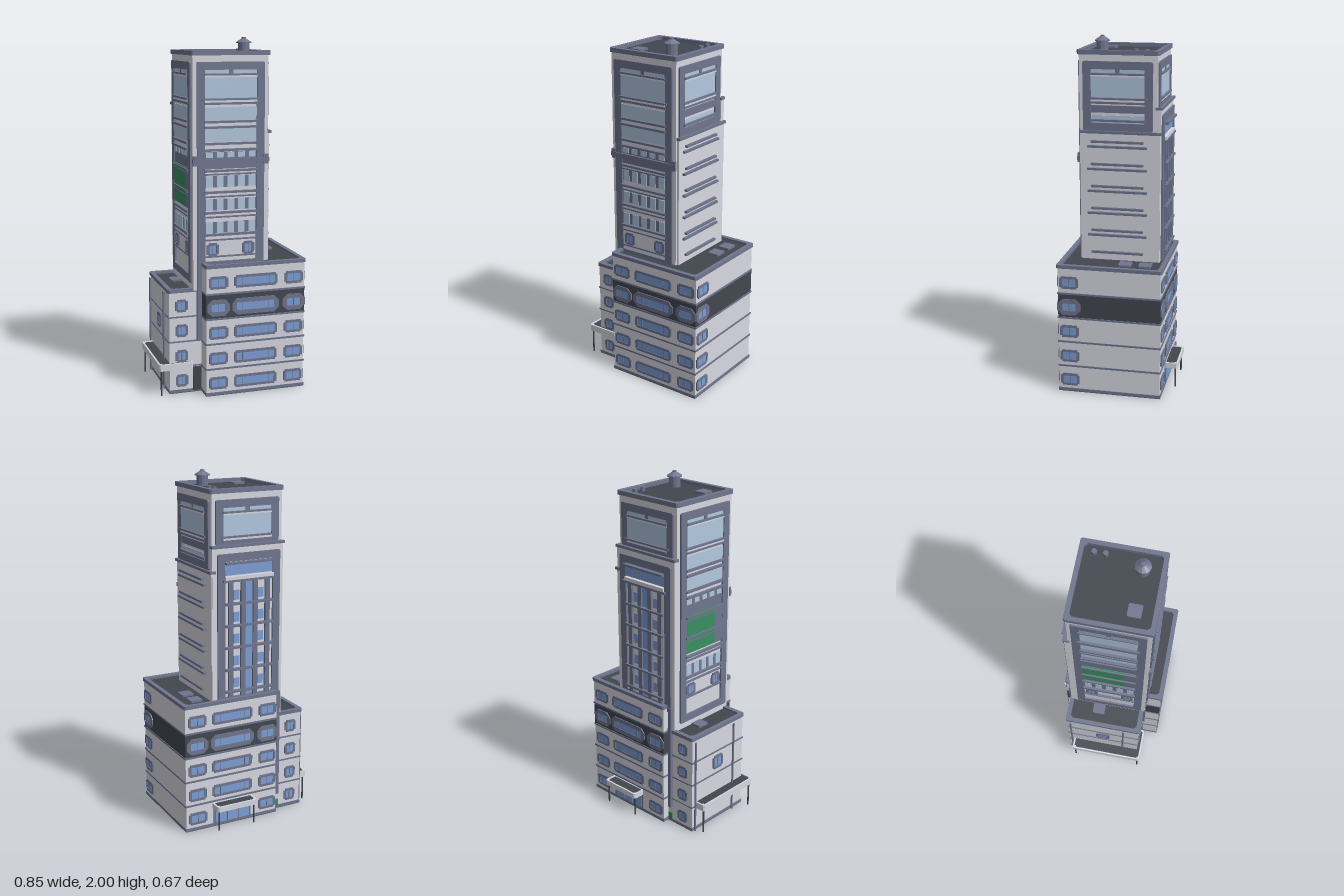
import * as THREE from 'three';

const material = (name, color) => Object.assign(new THREE.MeshStandardMaterial({ color }), { name });
const M = {
  wall: material('pale wall', 0xd8d8e2),
  trim: material('slate trim', 0x70768f),
  dark: material('charcoal', 0x42474f),
  base: material('underside grey', 0x545963),
  glass: material('blue glass', 0x7d9fd6),
  pale: material('pale glass', 0xb2c8e0),
  green: material('green panel', 0x3a8f62),
};

function add(parent, name, geo, mat, x = 0, y = 0, z = 0) {
  const mesh = new THREE.Mesh(geo, mat);
  mesh.name = name;
  mesh.position.set(x, y, z);
  parent.add(mesh);
  return mesh;
}

// box given by its extents on each axis
function box(parent, name, mat, x0, x1, y0, y1, z0, z1) {
  return add(parent, name, new THREE.BoxGeometry(x1 - x0, y1 - y0, z1 - z0), mat,
    (x0 + x1) / 2, (y0 + y1) / 2, (z0 + z1) / 2);
}

// rectangle outline with chamfered or stepped corners
function outline(Type, w, h, c, stepped = false) {
  const a = w / 2, b = h / 2;
  const corners = [[1, -1, false], [1, 1, true], [-1, 1, false], [-1, -1, true]];
  const points = [];
  for (const [sx, sy, sideFirst] of corners) {
    const alongX = [sx * (a - c), sy * b], alongY = [sx * a, sy * (b - c)];
    const notch = stepped ? [[sx * (a - c), sy * (b - c)]] : [];
    points.push(...(sideFirst ? [alongY, ...notch, alongX] : [alongX, ...notch, alongY]));
  }
  return new Type(points.map(p => new THREE.Vector2(...p)));
}

function frameGeometry(w, h, c, holeW, holeH, holeC, depth, stepped = false) {
  const shape = outline(THREE.Shape, w, h, c, stepped);
  shape.holes.push(outline(THREE.Path, holeW, holeH, holeC));
  return new THREE.ExtrudeGeometry(shape, { depth, bevelEnabled: false });
}

// horizontal rim around a flat roof
function parapet(parent, name, mat, x0, x1, z0, z1, y0, y1, t) {
  const geo = frameGeometry(x1 - x0, z1 - z0, 0.008, x1 - x0 - 2 * t, z1 - z0 - 2 * t, t * 0.6, y1 - y0);
  geo.rotateX(-Math.PI / 2);
  add(parent, name, geo, mat, (x0 + x1) / 2, y0, (z0 + z1) / 2);
}

// rounded-corner cover lying on a roof
function hatch(parent, x, y, z) {
  const geo = new THREE.ExtrudeGeometry(outline(THREE.Shape, 0.072, 0.072, 0.006), { depth: 0.012, bevelEnabled: false });
  geo.rotateX(-Math.PI / 2);
  add(parent, 'roofHatch', geo, M.trim, x, y, z);
}

// facade group: local +z points outward, local x runs to the viewer's right
function facade(parent, name, angle, x, z) {
  const g = new THREE.Group();
  g.name = name;
  g.position.set(x, 0, z);
  g.rotation.y = angle;
  parent.add(g);
  return g;
}

// framed window with mullions; big widens the frame into a chamfered surround
function windowUnit(parent, x, y, w, h, mullions, big = 0) {
  const g = new THREE.Group();
  g.name = 'window';
  g.position.set(x, y, 0);
  parent.add(g);
  const corner = big ? 0.028 : 0.01;
  add(g, 'windowFrame', frameGeometry(w + big, h + big, corner, w - 0.03, h - 0.028, 0.004, 0.007, !big), M.trim);
  box(g, 'windowGlass', M.glass, -w / 2 + 0.014, w / 2 - 0.014, -h / 2 + 0.013, h / 2 - 0.013, 0, 0.004);
  for (const m of mullions) box(g, 'mullion', M.trim, m - 0.0015, m + 0.0015, -h / 2 + 0.014, h / 2 - 0.014, 0, 0.006);
}

const ledge = (g, y, half, depth = 0.018, h = 0.012) =>
  box(g, 'ledge', M.trim, -half, half, y - h / 2, y + h / 2, 0, depth);

// tall facade frame with an open middle
function tallFrame(g, y0, y1, half = 0.195, t = 0.045) {
  add(g, 'facadeFrame', frameGeometry(half * 2, y1 - y0, 0.006, (half - t) * 2, y1 - y0 - t * 1.9, 0.004, 0.01),
    M.trim, 0, (y0 + y1) / 2, 0);
}

// picture window near the top of the tower
function topWindow(g) {
  box(g, 'topGlass', M.pale, -0.15, 0.15, 1.67, 1.83, 0, 0.004);
  box(g, 'topClip', M.trim, -0.012, 0.012, 1.8, 1.83, 0, 0.008);
  ledge(g, 1.802, 0.155, 0.018, 0.01);
  box(g, 'ledgeFace', M.wall, -0.15, 0.15, 1.787, 1.797, 0, 0.012);
  ledge(g, 1.668, 0.165, 0.018, 0.01);
  box(g, 'ledgeFace', M.wall, -0.15, 0.15, 1.651, 1.663, 0, 0.012);
  ledge(g, 1.645, 0.155, 0.014);
}

function podium(root) {
  const g = new THREE.Group();
  g.name = 'podium';
  root.add(g);
  box(g, 'podiumWalls', M.wall, -0.17, 0.413, 0.005, 0.742, -0.258, 0.323);
  box(g, 'podiumBase', M.trim, -0.174, 0.418, 0.004, 0.02, -0.263, 0.328);
  box(g, 'podiumUnderside', M.base, -0.172, 0.416, 0, 0.004, -0.261, 0.326);
  box(g, 'darkBand', M.dark, -0.1715, 0.4145, 0.45, 0.588, -0.2595, 0.3245);
  box(g, 'podiumRoof', M.dark, -0.165, 0.41, 0.742, 0.747, -0.255, 0.32);
  parapet(g, 'podiumParapet', M.trim, -0.175, 0.421, -0.267, 0.331, 0.742, 0.762, 0.025);
  for (const y of [0.158, 0.305, 0.45, 0.594]) box(g, 'floorBand', M.trim, -0.174, 0.418, y - 0.005, y + 0.005, -0.263, 0.328);
  for (const z of [-0.153, -0.04]) hatch(g, 0.306, 0.746, z);

  const front = facade(g, 'podiumFront', 0, 0.12, 0.323);
  const back = facade(g, 'podiumBack', Math.PI, 0.12, -0.258);
  const side = facade(g, 'podiumSide', Math.PI / 2, 0.413, 0);
  [0.075, 0.22, 0.37, 0.515, 0.66].forEach((y, i) => {
    const big = i === 3 ? 0.022 : 0;
    for (const f of [front, back]) {
      for (const x of [-0.22, 0.228]) windowUnit(f, x, y, 0.112, 0.072, [0], big);
      if (f === front || i > 0) windowUnit(f, 0, y, 0.256, 0.072, [-0.078, 0.078], big);
    }
    windowUnit(side, -0.26, y, 0.108, 0.072, [0], big);
  });
  // rear entrance
  box(back, 'entranceFrame', M.trim, -0.12, 0.12, 0.02, 0.118, 0, 0.006);
  for (const x of [-0.075, 0, 0.075]) box(back, 'entranceGlass', M.glass, x - 0.033, x + 0.033, 0.022, 0.108, 0, 0.009);
}

function wing(root) {
  const g = new THREE.Group();
  g.name = 'wing';
  root.add(g);
  box(g, 'wingWalls', M.wall, -0.358, -0.165, 0.005, 0.592, -0.218, 0.223);
  box(g, 'wingBase', M.trim, -0.363, -0.165, 0.004, 0.02, -0.223, 0.228);
  box(g, 'wingUnderside', M.base, -0.361, -0.17, 0, 0.004, -0.221, 0.226);
  box(g, 'wingRoof', M.dark, -0.355, -0.165, 0.592, 0.597, -0.215, 0.22);
  parapet(g, 'wingParapet', M.trim, -0.366, -0.165, -0.228, 0.23, 0.592, 0.612, 0.025);
  for (const y of [0.158, 0.305, 0.45]) box(g, 'floorBand', M.trim, -0.363, -0.165, y - 0.004, y + 0.004, -0.223, 0.228);
  hatch(g, -0.25, 0.596, -0.04);
  const front = facade(g, 'wingFront', 0, -0.287, 0.223);
  const back = facade(g, 'wingBack', Math.PI, -0.287, -0.218);
  const side = facade(g, 'wingSide', -Math.PI / 2, -0.358, 0);
  for (const y of [0.075, 0.22, 0.37, 0.515]) for (const f of [front, back]) windowUnit(f, 0, y, 0.072, 0.072, [0]);
  windowUnit(side, 0, 0.38, 0.085, 0.085, [0]);
  // service doors and drainpipes in the corners beside the podium
  box(g, 'serviceDoor', M.dark, -0.222, -0.172, 0.01, 0.15, 0.223, 0.231);
  box(g, 'rearServiceDoor', M.green, -0.208, -0.178, 0.02, 0.06, -0.226, -0.218);
  box(g, 'cornerDuct', M.trim, -0.198, -0.17, 0.305, 0.75, 0.222, 0.24);
  box(g, 'cornerDuct', M.trim, -0.205, -0.185, 0.1, 0.75, -0.236, -0.216);
  for (const z of [-0.2, 0.13]) {
    add(g, 'drainpipe', new THREE.CylinderGeometry(0.006, 0.006, 0.58, 8), M.trim, -0.368, 0.29, z);
  }
}

// flat canopy with pale rim, dark top and two posts
function canopy(root, x0, x1, z0, z1, y0, y1, posts) {
  const g = new THREE.Group();
  g.name = 'canopy';
  root.add(g);
  box(g, 'canopySlab', M.wall, x0 + 0.008, x1 - 0.008, y0, y1 - 0.008, z0 + 0.008, z1 - 0.008);
  box(g, 'canopyTop', M.dark, x0 + 0.008, x1 - 0.008, y1 - 0.008, y1 - 0.004, z0 + 0.008, z1 - 0.008);
  parapet(g, 'canopyRim', M.wall, x0, x1, z0, z1, y0, y1, 0.01);
  for (const [x, z] of posts) {
    add(g, 'canopyPost', new THREE.CylinderGeometry(0.005, 0.005, y0, 8), M.dark, x, y0 / 2, z);
    box(g, 'canopyBolt', M.wall, x - 0.004, x + 0.004, y1 - 0.004, y1, z - 0.004, z + 0.004);
  }
}

function tower(root) {
  const g = new THREE.Group();
  g.name = 'tower';
  root.add(g);
  box(g, 'towerCore', M.wall, -0.22, 0.215, 0.6, 1.905, -0.2, 0.236);
  box(g, 'sideSlab', M.wall, 0.2, 0.227, 0.745, 1.475, -0.218, 0.226);
  box(g, 'sideSlabCap', M.trim, 0.2, 0.238, 1.475, 1.49, -0.223, 0.232);
  box(g, 'rearSlab', M.wall, -0.22, 0.222, 0.6, 1.612, -0.22, -0.19);
  box(g, 'rearSlabCap', M.trim, -0.226, 0.224, 1.612, 1.627, -0.228, -0.19);
  box(g, 'towerRoof', M.dark, -0.215, 0.21, 1.905, 1.91, -0.195, 0.23);
  parapet(g, 'towerParapet', M.trim, -0.228, 0.226, -0.21, 0.246, 1.905, 1.93, 0.025);

  // front and left: framed columns of glazing
  const front = facade(g, 'towerFront', 0, -0.002, 0.236);
  const left = facade(g, 'towerLeft', -Math.PI / 2, -0.22, 0.018);
  for (const f of [front, left]) {
    tallFrame(f, f === front ? 0.72 : 0.64, 1.87);
    topWindow(f);
    for (const [y0, y1] of [[1.55, 1.625], [1.435, 1.508]]) box(f, 'glassBand', M.pale, -0.15, 0.15, y0, y1, 0, 0.004);
    for (const y of [1.545, 1.515, 1.425, 1.39, 1.275, 1.155, 1.04, 0.915]) ledge(f, y, 0.155);
    for (const y of [1.255, 1.13, 1.015, 0.885, 0.79]) ledge(f, y, 0.15, 0.012, 0.008);
    box(f, 'pierBand', M.trim, -0.15, 0.15, 1.285, 1.38, 0, 0.003);
    for (const [y, half] of [[1.363, 0.015], [1.215, 0.032], [1.085, 0.032], [0.955, 0.032]]) {
      if (f === left && y > 1 && y < 1.3) continue;
      box(f, 'paneSurround', M.trim, -0.15, 0.15, y - half, y + half, 0, 0.003);
      for (let i = -2; i <= 2; i++) box(f, 'windowPane', M.pale, i * 0.062 - 0.02, i * 0.062 + 0.02, y - half, y + half, 0, 0.006);
    }
    for (const x of [-0.105, 0.105]) windowUnit(f, x, 0.83, 0.07, 0.075, [0]);
  }
  box(left, 'greenPanel', M.green, -0.15, 0.085, 1.06, 1.285, 0, 0.0095);
  box(left, 'greenPanelEdge', M.trim, 0.085, 0.15, 1.06, 1.285, 0, 0.0095);
  box(front, 'beltLedge', M.trim, -0.222, 0.222, 1.318, 1.342, 0, 0.016);
  for (const x of [-0.205, 0.205]) box(front, 'beltBracket', M.trim, x - 0.014, x + 0.014, 1.305, 1.36, 0, 0.014);

  // right: picture window above a plain wall with paired ledges
  const upper = facade(g, 'towerRightUpper', Math.PI / 2, 0.215, 0.02);
  tallFrame(upper, 1.49, 1.87);
  topWindow(upper);
  box(upper, 'trimBand', M.trim, -0.15, 0.15, 1.59, 1.63, 0, 0.008);
  box(upper, 'glassBand', M.pale, -0.145, 0.145, 1.53, 1.575, 0, 0.004);
  ledge(upper, 1.547, 0.16);
  const lower = facade(g, 'towerRightLower', Math.PI / 2, 0.227, 0.022);
  for (const y of [1.43, 1.303, 1.177, 1.05, 0.922, 0.793]) {
    ledge(lower, y, 0.148, 0.016);
    if (y > 0.8) ledge(lower, y - 0.028, 0.168, 0.016);
  }

  // back: picture window above a tall bay of piers
  const backTop = facade(g, 'towerBackUpper', Math.PI, -0.002, -0.2);
  tallFrame(backTop, 1.627, 1.87);
  topWindow(backTop);
  const back = facade(g, 'towerBackLower', Math.PI, -0.002, -0.22);
  tallFrame(back, 0.72, 1.58);
  box(back, 'bayGlass', M.glass, -0.15, 0.15, 1.46, 1.52, 0, 0.004);
  ledge(back, 1.528, 0.15, 0.03);
  box(back, 'bayLintel', M.wall, -0.15, 0.15, 1.436, 1.455, 0, 0.02);
  ledge(back, 1.43, 0.165, 0.024);
  box(back, 'bayGlass', M.glass, -0.024, 0.024, 0.76, 1.42, 0, 0.004);
  for (const x of [-0.115, -0.038, 0.038, 0.115]) box(back, 'bayPier', M.trim, x - 0.014, x + 0.014, 0.75, 1.42, 0, 0.014);
  for (const y of [1.3, 1.175, 1.05, 0.922, 0.793]) {
    ledge(back, y, 0.15, 0.024);
    for (const x of [-0.076, 0.076]) box(back, 'bayPane', M.glass, x - 0.018, x + 0.018, y + 0.02, y + 0.075, 0, 0.004);
  }

  // roof equipment
  hatch(g, -0.111, 1.909, 0.128);
  const tank = [[0, 0], [0.033, 0], [0.033, 0.062], [0.043, 0.062], [0.043, 0.068], [0.012, 0.088], [0.012, 0.094], [0, 0.094]];
  const tankGeo = new THREE.LatheGeometry(tank.map(p => new THREE.Vector2(...p)), 12).toNonIndexed();
  tankGeo.computeVertexNormals();
  add(g, 'waterTank', tankGeo, M.trim, 0.108, 1.906, 0.128);
  for (const z of [-0.13, -0.07]) add(g, 'roofVent', new THREE.CylinderGeometry(0.014, 0.014, 0.028, 12), M.trim, 0.163, 1.92, z);
}

export function createModel() {
  const root = new THREE.Group();
  root.name = 'officeTower';
  podium(root);
  wing(root);
  tower(root);
  canopy(root, -0.425, -0.225, -0.19, 0.25, 0.148, 0.187, [[-0.41, -0.175], [-0.41, 0.236]]);
  canopy(root, -0.003, 0.25, -0.335, -0.255, 0.118, 0.15, [[0.01, -0.32], [0.236, -0.32]]);
  return root;
}
